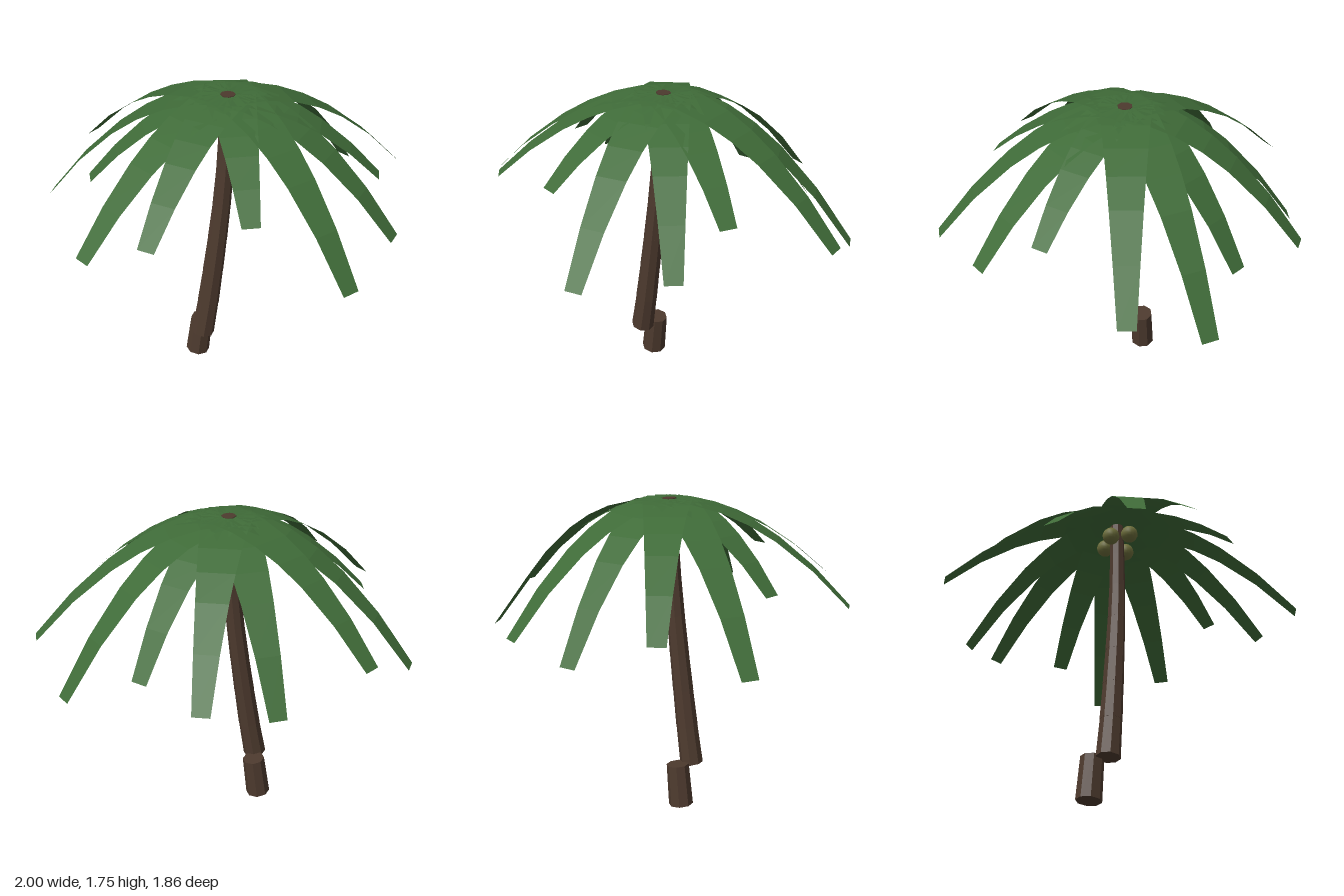
import * as THREE from 'three';

const bark = new THREE.MeshStandardMaterial({ color: 0x4d3a2e, flatShading: true });
const green = new THREE.MeshStandardMaterial({ color: 0x3f6b38, flatShading: true, side: THREE.DoubleSide });
const olive = new THREE.MeshStandardMaterial({ color: 0x6e6f3c });

// Tapered log between two points
function log(a, b, r0, r1) {
  const dir = b.clone().sub(a);
  const mesh = new THREE.Mesh(new THREE.CylinderGeometry(r1, r0, dir.length(), 8), bark);
  mesh.position.copy(a).add(b).multiplyScalar(0.5);
  mesh.quaternion.setFromUnitVectors(new THREE.Vector3(0, 1, 0), dir.normalize());
  return mesh;
}

// Flat tapering strip, drooping as a parabola from the crown to its tip
function frondGeometry(crown, tip) {
  const out = new THREE.Vector3(tip.x - crown.x, 0, tip.z - crown.z);
  const side = new THREE.Vector3(out.z, 0, -out.x).normalize();
  const pos = [], index = [];
  [0.03, 0.16, 0.31, 0.455, 0.6, 0.8, 1].forEach((t, i) => {
    const mid = crown.clone().addScaledVector(out, t);
    mid.y += (tip.y - crown.y) * t * t;
    const half = (0.275 - 0.185 * t) / 2;
    for (const s of [-1, 1]) pos.push(...mid.clone().addScaledVector(side, s * half).toArray());
    if (i > 0) {
      const k = 2 * i - 2;
      index.push(k, k + 2, k + 1, k + 1, k + 2, k + 3);
    }
  });
  const g = new THREE.BufferGeometry();
  g.setAttribute('position', new THREE.Float32BufferAttribute(pos, 3));
  g.setIndex(index);
  // Every strip faces up
  g.computeVertexNormals();
  if (g.attributes.normal.getY(0) < 0) {
    g.setIndex(index.reverse());
    g.computeVertexNormals();
  }
  return g;
}

export function createModel() {
  const palm = new THREE.Group();
  palm.name = 'palmTree';

  // Trunk: a stump log set back from the stacked logs above it
  const trunk = new THREE.Group();
  trunk.name = 'trunk';
  const stump = log(new THREE.Vector3(-0.195, 0.01, -0.02), new THREE.Vector3(-0.165, 0.25, -0.022), 0.07, 0.064);
  stump.name = 'trunkStump';
  trunk.add(stump);
  const xs = [-0.165, -0.13, -0.1, -0.072, -0.047, -0.028, -0.017, -0.01];
  const n = xs.length - 1;
  const point = (i) => new THREE.Vector3(xs[i], 0.232 + i * 0.2165, 0.08 - 0.05 * i / n);
  for (let i = 0; i < n; i++) {
    const r = 0.066 - 0.027 * i / n;
    const seg = log(point(i), point(i + 1), r, r * 0.92);
    seg.name = 'trunkSegment';
    trunk.add(seg);
  }
  palm.add(trunk);

  // Fronds, listed by tip position
  const crown = new THREE.Vector3(-0.005, 1.745, 0.025);
  const tips = [
    [0.03, 1.12, -0.935], [-0.325, 1.05, -0.825], [-0.76, 1.23, -0.615], [-0.99, 1.055, -0.25],
    [-0.735, 1.34, 0.115], [-0.76, 1.2, 0.665], [-0.45, 1.33, 0.79], [0.04, 1.41, 0.755],
    [0.5, 1.115, 0.905], [0.785, 1.165, 0.54], [0.765, 1.34, 0.21], [0.985, 1.155, -0.295],
    [0.765, 0.99, -0.64], [0.365, 1.13, -0.68],
  ];
  const fronds = new THREE.Group();
  fronds.name = 'fronds';
  for (const t of tips) {
    const frond = new THREE.Mesh(frondGeometry(crown, new THREE.Vector3(...t)), green);
    frond.name = 'frond';
    fronds.add(frond);
  }
  palm.add(fronds);

  // Nuts clustered under the crown
  const nuts = new THREE.Group();
  nuts.name = 'coconuts';
  for (const [x, y, z] of [[-0.1, 1.625, 0.05], [0.095, 1.625, 0.02], [0.01, 1.64, -0.07], [-0.01, 1.66, 0.12]]) {
    const nut = new THREE.Mesh(new THREE.SphereGeometry(0.05, 14, 10), olive);
    nut.name = 'coconut';
    nut.position.set(x, y, z);
    nuts.add(nut);
  }
  palm.add(nuts);
  return palm;
}
